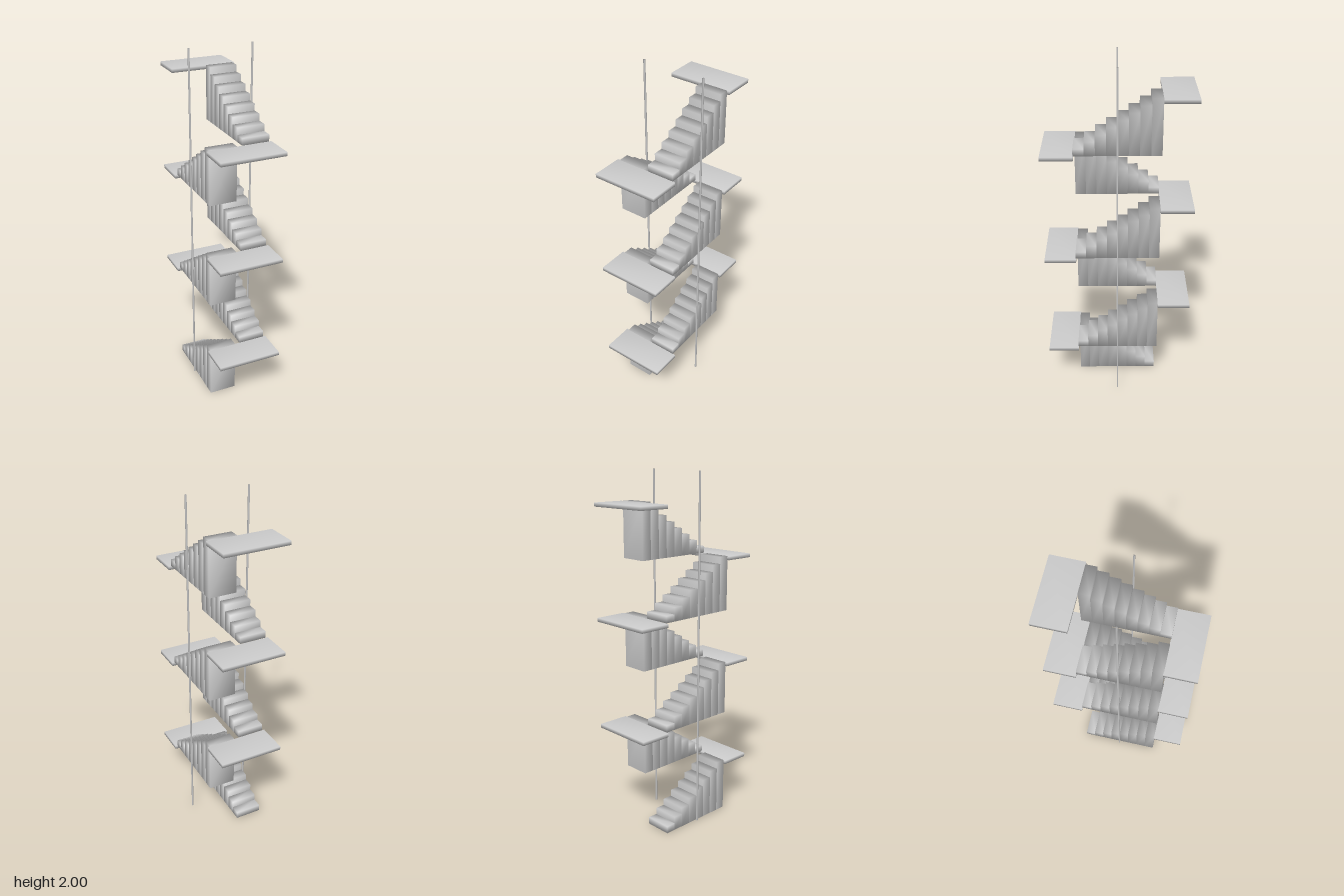
import * as THREE from 'three';
import { mergeVertices } from 'three/addons/utils/BufferGeometryUtils.js';

const RISE = 0.3064;   // height of one flight
const STEPS = 8;
const Z_BACK = -0.227, Z_FRONT = 0.235;

export function createModel() {
  const model = new THREE.Group();
  model.name = 'staircase';
  const material = new THREE.MeshStandardMaterial({ color: 0xcccccc });

  // Box between two corners, with corner normals shared for soft shading
  function block(name, parent, [x0, y0, z0], [x1, y1, z1]) {
    let geometry = new THREE.BoxGeometry(x1 - x0, y1 - y0, z1 - z0);
    geometry.deleteAttribute('normal');
    geometry.deleteAttribute('uv');
    geometry = mergeVertices(geometry);
    geometry.computeVertexNormals();
    const mesh = new THREE.Mesh(geometry, material);
    mesh.position.set((x0 + x1) / 2, (y0 + y1) / 2, (z0 + z1) / 2);
    mesh.name = name;
    parent.add(mesh);
  }

  const run = (Z_FRONT - Z_BACK) / STEPS;

  for (let i = 0; i < 6; i++) {
    const toFront = i % 2 === 0;         // even flights climb to the front
    const base = i * RISE + 0.002;
    const top = (i + 1) * RISE;

    // Flight of full-height steps
    const flight = new THREE.Group();
    flight.name = 'flight' + (i + 1);
    model.add(flight);
    const [x0, x1] = toFront ? [-0.17, -0.015] : [0.013, 0.168];
    for (let s = 0; s < STEPS; s++) {
      const z = Z_BACK + run * (toFront ? s : STEPS - 1 - s);
      block('step', flight, [x0, i === 0 ? 0 : base, z], [x1, base + (s + 1) * RISE / STEPS, z + run]);
    }

    // Landing at the head of the flight
    const [z0, z1] = toFront ? [Z_FRONT - 0.002, 0.407] : [-0.408, Z_BACK];
    block('landing', model, [-0.184, top - 0.02, z0], [0.182, top + 0.001, z1]);
  }

  // Upright posts on both sides
  for (const x of [-0.179, 0.177]) {
    block('post', model, [x - 0.004, 0, 0], [x + 0.004, 2, 0.008]);
  }
  return model;
}
